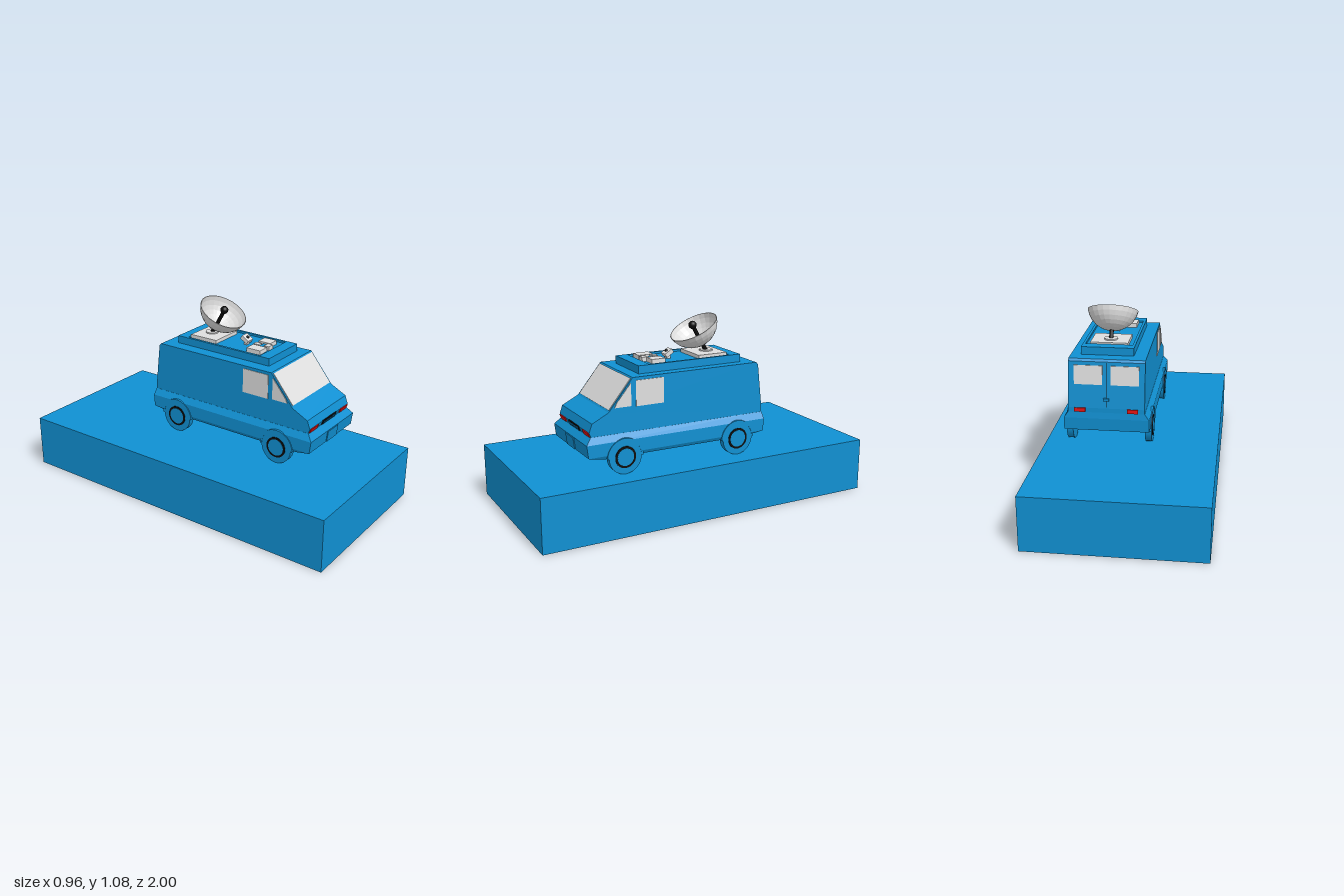
import * as THREE from 'three';

const mat = (name, color) => Object.assign(new THREE.MeshStandardMaterial({ color }), { name });

export function createModel() {
  const blue = mat('blue paint', 0x1090d2);
  const grey = mat('light grey', 0xdedede);
  const black = mat('black', 0x0a0a0a);
  const red = mat('red lamp', 0xe01010);

  const model = new THREE.Group();
  const van = new THREE.Group();
  van.name = 'van';
  van.position.x = 0.125;
  model.add(van);

  const add = (parent, name, geo, material, x = 0, y = 0, z = 0) => {
    const m = new THREE.Mesh(geo, material);
    m.name = name;
    m.position.set(x, y, z);
    parent.add(m);
    return m;
  };
  const box = (parent, name, material, w, h, d, x, y, z) =>
    add(parent, name, new THREE.BoxGeometry(w, h, d), material, x, y, z);
  const faceted = (geo) => {
    const g = geo.toNonIndexed();
    g.computeVertexNormals();
    return g;
  };
  const shape = (pts) => new THREE.Shape(pts.map(([a, b]) => new THREE.Vector2(a, b)));
  // Side outline in (z, y), extruded across x about a centre
  const sideExtrude = (s, width) => {
    const g = new THREE.ExtrudeGeometry(s, { depth: width, bevelEnabled: false, curveSegments: 16 });
    return g.translate(0, 0, -width / 2).rotateY(-Math.PI / 2);
  };
  // Thin panel lying on a sloped face between points a (top) and b (bottom), each [z, y]
  const slopedPanel = (name, material, x, w, a, b, t = 0.008) => {
    const dz = a[0] - b[0], dy = a[1] - b[1];
    const m = box(van, name, material, w, Math.hypot(dz, dy), t, x, (a[1] + b[1]) / 2, (a[0] + b[0]) / 2);
    m.rotation.x = Math.atan2(dz, dy);
    return m;
  };

  // Plinth
  box(model, 'plinth', blue, 0.965, 0.305, 2, 0, 0.1525, 0);

  // Lower body: rectangular rings of [y, halfWidth, zFront, zBack]
  const rings = [
    [0.40, 0.224, 0.60, -0.27], [0.42, 0.235, 0.688, -0.385],
    [0.49, 0.235, 0.697, -0.39], [0.525, 0.211, 0.665, -0.387],
  ];
  const pos = [], idx = [];
  for (const [y, w, f, b] of rings) pos.push(-w, y, f, w, y, f, w, y, b, -w, y, b);
  for (let r = 0; r < rings.length - 1; r++)
    for (let i = 0; i < 4; i++) {
      const a = r * 4 + i, b = r * 4 + (i + 1) % 4;
      idx.push(a, b, b + 4, a, b + 4, a + 4);
    }
  const top = (rings.length - 1) * 4;
  idx.push(0, 2, 1, 0, 3, 2, top, top + 1, top + 2, top, top + 2, top + 3);
  const lower = new THREE.BufferGeometry();
  lower.setAttribute('position', new THREE.Float32BufferAttribute(pos, 3));
  lower.setIndex(idx);
  add(van, 'lowerBody', faceted(lower), blue);

  // Cabin and cargo body
  add(van, 'upperBody', sideExtrude(shape([
    [-0.387, 0.52], [0.66, 0.52], [0.672, 0.55], [0.655, 0.597], [0.56, 0.645],
    [0.42, 0.817], [-0.345, 0.817], [-0.357, 0.805], [-0.387, 0.55],
  ]), 0.42), blue);

  // Windows
  slopedPanel('windscreen', grey, 0, 0.4, [0.426, 0.81], [0.553, 0.653]);
  for (const s of [-1, 1]) {
    box(van, 'doorWindow', grey, 0.006, 0.14, 0.165, s * 0.21, 0.73, 0.32);
    add(van, 'quarterWindow', sideExtrude(shape([
      [0.43, 0.665], [0.527, 0.665], [0.515, 0.69], [0.432, 0.79],
    ]), 0.006), grey, s * 0.21);
    slopedPanel('rearWindow', grey, s * 0.1, 0.155, [-0.36, 0.785], [-0.372, 0.68]);
    slopedPanel('rearLamp', red, s * 0.145, 0.06, [-0.389, 0.55], [-0.391, 0.528], 0.012);
    slopedPanel('headlamp', red, s * 0.162, 0.08, [0.673, 0.55], [0.664, 0.526]);
  }
  slopedPanel('rearDoorSeam', black, 0, 0.003, [-0.3585, 0.8], [-0.387, 0.556], 0.003);
  box(van, 'rearHandle', blue, 0.03, 0.015, 0.014, 0, 0.6, -0.385);

  // Grille with upright slats, and number panel
  slopedPanel('grille', black, 0, 0.145, [0.673, 0.552], [0.664, 0.526]);
  for (let i = 0; i < 8; i++)
    slopedPanel('grilleSlat', blue, -0.056 + i * 0.016, 0.003, [0.675, 0.546], [0.668, 0.53], 0.009);
  slopedPanel('bumperPanel', blue, 0, 0.11, [0.697, 0.487], [0.689, 0.422], 0.009);

  // Wheels and arches
  for (const s of [-1, 1])
    for (const z of [0.48, -0.213]) {
      const wheel = new THREE.Group();
      wheel.name = 'wheel';
      wheel.position.set(s * 0.22, 0.399, z);
      van.add(wheel);
      const disc = (name, m, r, w, x) =>
        add(wheel, name, new THREE.CylinderGeometry(r, r, w, 28).rotateZ(Math.PI / 2), m, s * x);
      disc('tyre', blue, 0.094, 0.036, 0);
      disc('rimRing', black, 0.06, 0.004, 0.019);
      disc('hub', blue, 0.048, 0.006, 0.019);
      const arch = new THREE.Shape();
      arch.absarc(0, 0, 0.104, 0, Math.PI, false);
      arch.absarc(0, 0, 0.093, Math.PI, 0, true);
      add(wheel, 'wheelArch', sideExtrude(arch, 0.04), blue);
    }

  // Roof tray with raised rim
  const roof = new THREE.Group();
  roof.name = 'roofEquipment';
  roof.position.x = 0.008;
  van.add(roof);
  box(roof, 'roofTray', blue, 0.292, 0.035, 0.63, 0, 0.832, 0.043);
  const rim = shape([[-0.146, -0.358], [0.146, -0.358], [0.146, 0.272], [-0.146, 0.272]]);
  rim.holes.push(new THREE.Path([[-0.131, -0.29], [-0.131, 0.21], [0.131, 0.21], [0.131, -0.29]]
    .map(([a, b]) => new THREE.Vector2(a, b))));
  add(roof, 'trayRim', new THREE.ExtrudeGeometry(rim, { depth: 0.014, bevelEnabled: false })
    .rotateX(-Math.PI / 2), blue, 0, 0.847, 0);

  // Equipment boxes
  const units = [
    [-0.07, 0.225, 0.07, 0.09], [0.06, 0.212, 0.066, 0.08],
    [-0.01, 0.19, 0.032, 0.034], [0, 0.258, 0.04, 0.034],
  ];
  for (const [x, z, w, d] of units) box(roof, 'equipmentBox', grey, w, 0.025, d, x, 0.861, z);
  box(roof, 'cableBox', blue, 0.05, 0.016, 0.03, 0, 0.857, 0.222);
  box(roof, 'antennaPlate', grey, 0.21, 0.022, 0.18, 0, 0.859, -0.12);

  // Small receiver with a lens
  box(roof, 'receiverFoot', grey, 0.03, 0.03, 0.02, 0, 0.862, 0.11);
  box(roof, 'receiver', grey, 0.05, 0.024, 0.05, 0, 0.881, 0.11).rotation.x = 0.55;
  add(roof, 'receiverLens', new THREE.SphereGeometry(0.009, 12, 8), black, 0, 0.892, 0.117);

  // Dish stand
  add(roof, 'standDisc', new THREE.CylinderGeometry(0.038, 0.038, 0.008, 20), grey, 0, 0.873, -0.135);
  add(roof, 'standPost', new THREE.CylinderGeometry(0.012, 0.012, 0.06, 12), black, 0, 0.893, -0.122)
    .rotation.x = 0.49;

  // Dish: thin bowl, outer skin up and inner skin back down
  const dish = new THREE.Group();
  dish.name = 'dish';
  dish.position.set(0, 1.011, -0.054);
  dish.rotation.x = 0.49;
  roof.add(dish);
  const R = 0.146, depth = 0.115, end = Math.acos((R - depth) / R), n = 7;
  const arc = (r) => Array.from({ length: n + 1 }, (_, i) => new THREE.Vector2(
    r * Math.sin(end * i / n), R - depth - r * Math.cos(end * i / n)));
  const bowl = new THREE.LatheGeometry([...arc(R), ...arc(R - 0.004).reverse()], 24);
  add(dish, 'bowl', faceted(bowl), grey);
  add(dish, 'feedRod', new THREE.CylinderGeometry(0.011, 0.011, 0.122, 12), black, 0, -0.052, 0);
  add(dish, 'feedHorn', new THREE.SphereGeometry(0.023, 16, 12), black, 0, 0.012, 0);

  return model;
}
